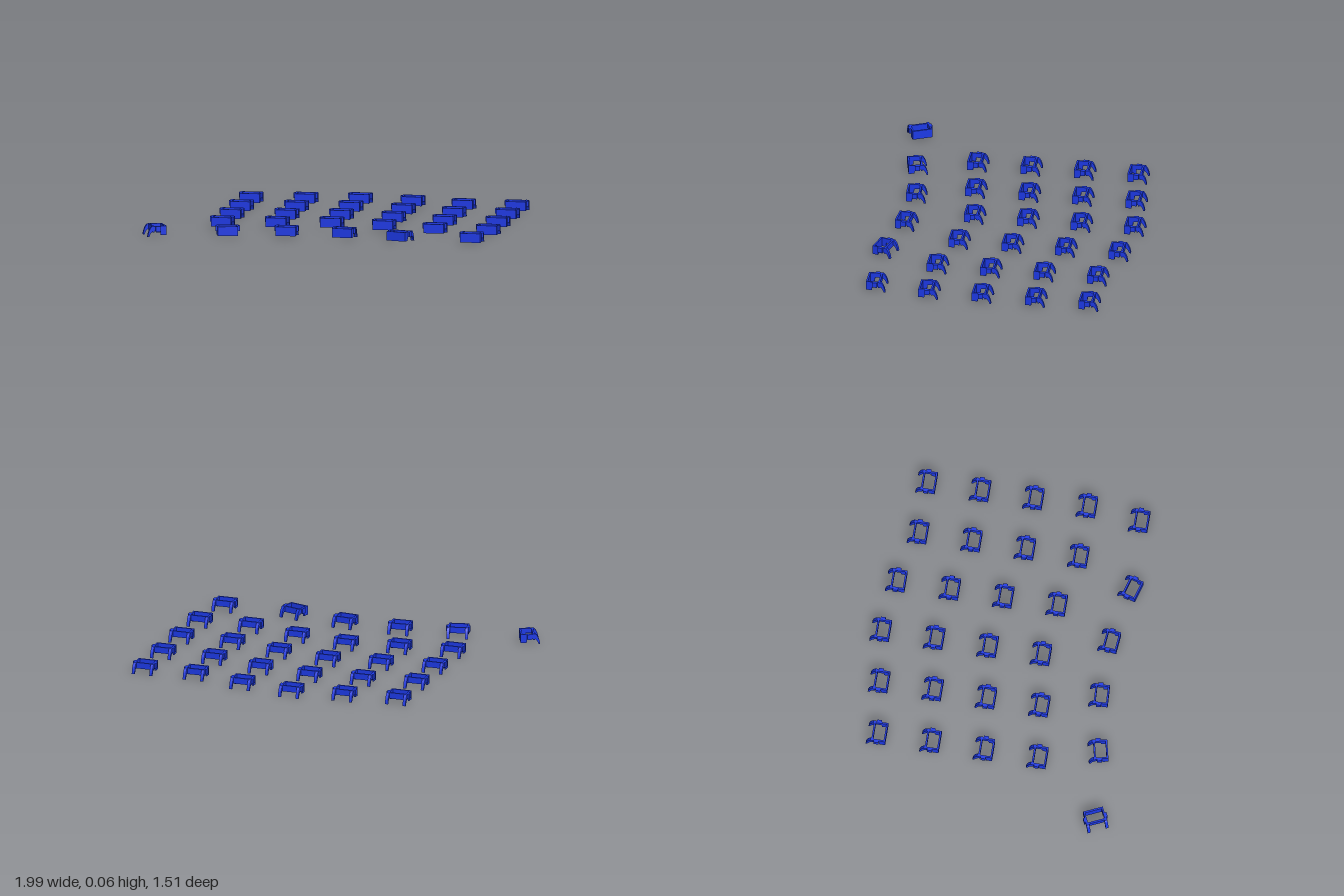
import * as THREE from 'three';

const material = new THREE.MeshStandardMaterial({ color: 0x1c39e6, side: THREE.DoubleSide });

// Extrude a (z, y) profile along x, centred on x = 0
function sideways(shape, width) {
  const g = new THREE.ExtrudeGeometry(shape, { depth: width, bevelEnabled: false, curveSegments: 6 });
  g.translate(0, 0, -width / 2);
  g.rotateY(-Math.PI / 2);
  return g;
}

// Side wall: deep at the front, a high rail towards the rear
const sideShape = new THREE.Shape([
  [0.04, 0.06], [-0.04, 0.06], [-0.04, 0.032], [0.004, 0.032], [0.006, 0.008], [0.04, 0.008],
].map(([z, y]) => new THREE.Vector2(z, y)));

// Rear leg: curved strip sweeping back and down to the floor
const legShape = new THREE.Shape();
legShape.moveTo(-0.028, 0.06);
legShape.lineTo(-0.045, 0.06);
legShape.quadraticCurveTo(-0.064, 0.045, -0.071, 0);
legShape.lineTo(-0.062, 0);
legShape.quadraticCurveTo(-0.052, 0.034, -0.028, 0.036);
legShape.closePath();

const geo = {
  frontPanel: new THREE.BoxGeometry(0.115, 0.052, 0.01),
  rearPanel: new THREE.BoxGeometry(0.115, 0.035, 0.01),
  sideWall: sideways(sideShape, 0.009),
  rearLeg: sideways(legShape, 0.017),
  sideBracket: new THREE.BoxGeometry(0.013, 0.03, 0.028),
};

function createDesk() {
  const desk = new THREE.Group();
  const add = (name, x, y, z) => {
    const m = new THREE.Mesh(geo[name], material);
    m.name = name;
    m.position.set(x, y, z);
    desk.add(m);
  };
  add('frontPanel', 0, 0.034, 0.035);
  add('rearPanel', 0, 0.0425, -0.035);
  for (const s of [-1, 1]) {
    add('sideWall', s * 0.053, 0, 0);
    add('rearLeg', s * 0.0525, 0, 0);
    add('sideBracket', s * 0.062, 0.045, -0.011);
  }
  return desk;
}

export function createModel() {
  const model = new THREE.Group();
  model.name = 'deskRows';
  const place = (name, x, z, turn = 0) => {
    const desk = createDesk();
    desk.name = name;
    desk.position.set(x, 0, z);
    desk.rotation.y = turn;
    model.add(desk);
  };

  // Four staggered rows: x of each column and z of its rearmost desk
  const columns = [
    [-0.605, -0.607], [-0.297, -0.645], [0.008, -0.685],
    [0.315, -0.645], [0.62, -0.57], [0.925, -0.57],
  ];
  for (const [x, z] of columns) {
    for (let row = 0; row < 4; row++) place('rowDesk', x, z + row * 0.305);
  }

  // Front row, each desk turned a little differently
  const front = [
    [-0.911, 0.67, 2.0], [-0.513, 0.64, 0.22], [-0.185, 0.593, 0.05],
    [0.144, 0.598, -0.09], [0.473, 0.665, -0.28], [0.885, 0.65, 0],
  ];
  for (const [x, z, turn] of front) place('frontDesk', x, z, turn);
  return model;
}
